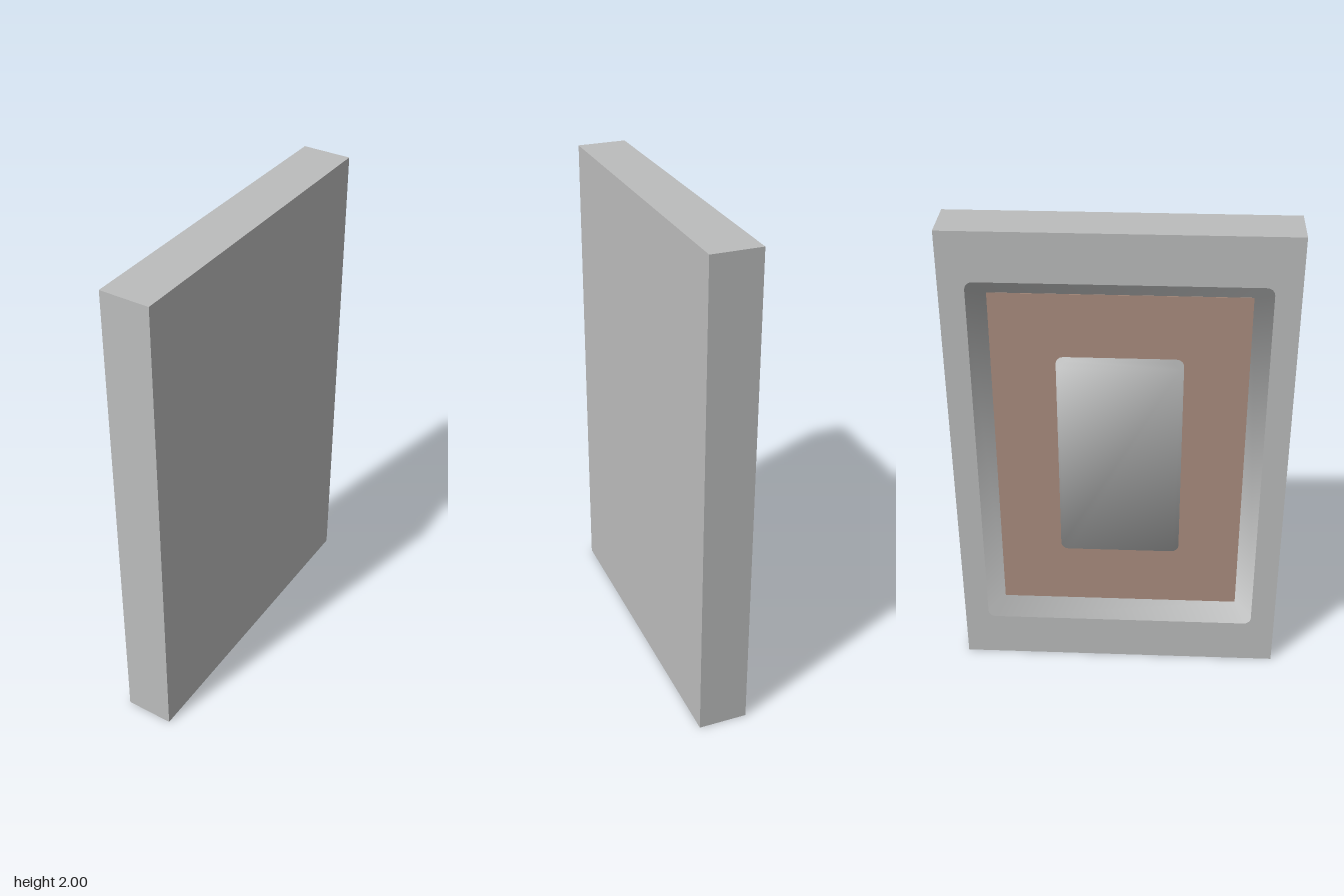
import * as THREE from 'three';

// Rounded rectangle corner points, counter-clockwise, centred on the origin
function ring(hw, hh, r, steps = 4) {
  const pts = [];
  [[1, 1], [-1, 1], [-1, -1], [1, -1]].forEach(([sx, sy], c) => {
    for (let i = 0; i <= steps; i++) {
      const a = (c + i / steps) * Math.PI / 2;
      pts.push({ x: sx * (hw - r) + r * Math.cos(a), y: sy * (hh - r) + r * Math.sin(a), sx, sy });
    }
  });
  return pts;
}

// Sloping band from an outer ring to an inner ring with soft corner normals;
// lean is 1 for a raised pad and -1 for a sunken bevel
function band(outer, zOuter, inner, zInner, lean, capped) {
  const pos = [], nor = [], idx = [], n = outer.length;
  [[outer, zOuter], [inner, zInner]].forEach(([pts, z]) => pts.forEach((p) => {
    pos.push(p.x, p.y, z);
    nor.push(...new THREE.Vector3(lean * p.sx, lean * p.sy, 1).normalize().toArray());
  }));
  for (let i = 0; i < n; i++) {
    const j = (i + 1) % n;
    idx.push(i, j, n + j, i, n + j, n + i);
  }
  if (capped) for (let i = 1; i < n - 1; i++) idx.push(n, n + i, n + i + 1);
  const g = new THREE.BufferGeometry();
  g.setAttribute('position', new THREE.Float32BufferAttribute(pos, 3));
  g.setAttribute('normal', new THREE.Float32BufferAttribute(nor, 3));
  g.setIndex(idx);
  return g;
}

export function createModel() {
  const grey = new THREE.MeshStandardMaterial({ name: 'grey', color: 0xbcbdbd });
  const brown = new THREE.MeshStandardMaterial({ name: 'brown', color: 0xab8e7f });
  const HW = 0.67, HH = 1, FRONT = 0.1, FLOOR = 0.037;

  // Built facing +z, then turned so the recessed face looks towards -x
  const panel = new THREE.Group();
  panel.name = 'panel';
  const add = (name, geo, mat, z = 0) => {
    const m = new THREE.Mesh(geo, mat);
    m.name = name;
    m.position.z = z;
    panel.add(m);
  };

  // Solid backing slab
  const slabDepth = FLOOR + FRONT;
  add('backSlab', new THREE.BoxGeometry(HW * 2, HH * 2, slabDepth), grey, FLOOR - slabDepth / 2);

  // Rim around the recess
  const opening = ring(0.57, 0.8, 0.03);
  const rim = new THREE.Shape([
    new THREE.Vector2(-HW, -HH), new THREE.Vector2(HW, -HH),
    new THREE.Vector2(HW, HH), new THREE.Vector2(-HW, HH),
  ]);
  rim.holes.push(new THREE.Path(opening.map((p) => new THREE.Vector2(p.x, p.y))));
  add('rim', new THREE.ExtrudeGeometry(rim, { depth: FRONT - FLOOR, bevelEnabled: false }), grey, FLOOR);

  // Sloping sides of the recess
  add('recessBevel', band(opening, FRONT, ring(0.5, 0.73, 0.005), FLOOR, -1, false), grey);

  // Brown floor of the recess
  add('recessFloor', new THREE.BoxGeometry(1.0, 1.46, 0.006), brown, FLOOR - 0.001);

  // Softly raised pad in the middle
  add('centrePad', band(ring(0.25, 0.465, 0.03), FLOOR, ring(0.237, 0.452, 0.03), FLOOR + 0.013, 1, true), grey);

  panel.rotation.y = -Math.PI / 2;
  panel.position.y = HH;
  const model = new THREE.Group();
  model.name = 'model';
  model.add(panel);
  return model;
}
